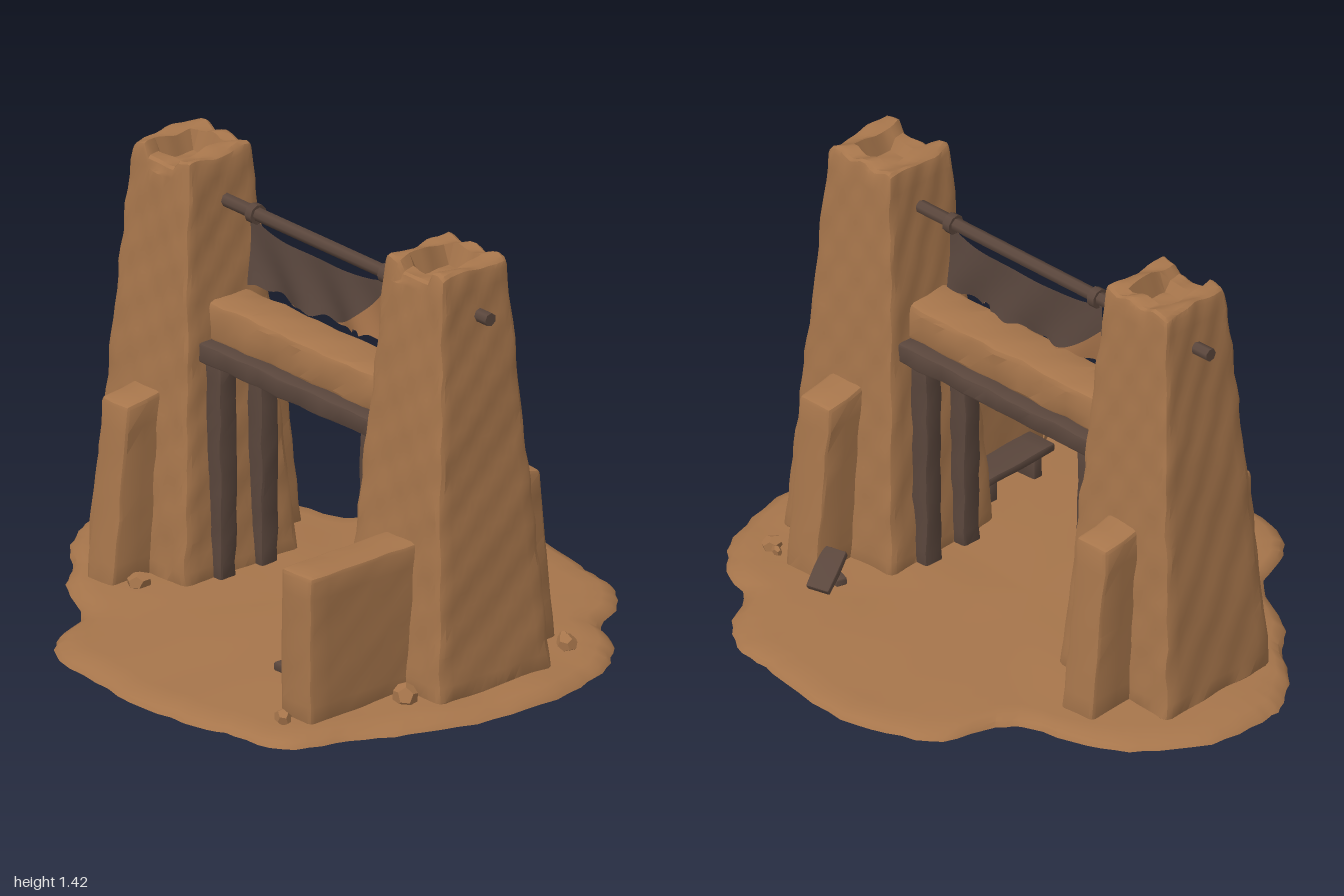
import * as THREE from 'three';
import { mergeVertices, toCreasedNormals } from 'three/addons/utils/BufferGeometryUtils.js';

const mat = (name, color, side = THREE.FrontSide) => {
  const m = new THREE.MeshStandardMaterial({ color, side });
  m.name = name;
  return m;
};
const clamp = THREE.MathUtils.clamp;
const wobble = (x, y, z) => (Math.sin(x * 31 + y * 13 + z * 7) + Math.sin(y * 23 - z * 37 + x * 5) + Math.sin(z * 29 + y * 41)) / 3;

// Worn block: a subdivided box with softened edges, uneven faces and an optional warp
function block([x0, x1], [y0, y1], [z0, z1], { n = [4, 6, 4], r = 0.015, rough = 0.004, warp } = {}) {
  let geo = new THREE.BoxGeometry(2, 2, 2, ...n);
  geo.deleteAttribute('normal');
  geo.deleteAttribute('uv');
  geo = mergeVertices(geo);
  const half = [(x1 - x0) / 2, (y1 - y0) / 2, (z1 - z0) / 2];
  const mid = new THREE.Vector3((x0 + x1) / 2, (y0 + y1) / 2, (z0 + z1) / 2);
  const pos = geo.attributes.position, p = new THREE.Vector3(), core = new THREE.Vector3();
  for (let i = 0; i < pos.count; i++) {
    p.fromBufferAttribute(pos, i);
    ['x', 'y', 'z'].forEach((k, a) => {
      const u = p[k], h = half[a];
      p[k] = Math.abs(u) > 0.999 ? u * h : u / (1 - 2 / n[a]) * (h - r);
      core[k] = clamp(p[k], r - h, h - r);
    });
    p.sub(core);
    if (p.length() > 0) p.setLength(r);
    p.add(core).add(mid);
    const { x, y, z } = p;
    if (warp) warp(p);
    p.x += rough * wobble(x, y, z);
    p.y += rough * wobble(y + 2, z, x) * 0.7;
    p.z += rough * wobble(z + 5, x, y);
    pos.setXYZ(i, p.x, p.y, p.z);
  }
  return toCreasedNormals(geo, 0.5);
}

// Flat mound built from scaled copies of one irregular outline
function moundGeometry() {
  const pts = [[-1, 0], [-.97, -.2], [-.85, -.38], [-.7, -.48], [-.5, -.53], [-.42, -.6], [-.36, -.77], [-.2, -.86],
    [.02, -.9], [.3, -.85], [.45, -.83], [.58, -.75], [.67, -.6], [.82, -.52], [.92, -.4], [.98, -.24], [1, 0],
    [.96, .25], [.88, .45], [.8, .62], [.73, .78], [.55, .82], [.42, .86], [.2, .89], [-.05, .87], [-.3, .82],
    [-.38, .72], [-.45, .57], [-.65, .46], [-.75, .35], [-.9, .22], [-.98, .1]];
  const N = 128;
  const line = new THREE.CatmullRomCurve3(pts.map(([x, z]) => new THREE.Vector3(x, 0, z)), true).getPoints(N);
  const rings = [[0, 0], [1, 0], [.985, .015], [.95, .028], [.88, .031], [.74, .036], [.58, .041], [.4, .043], [.2, .045], [0, .045]];
  const verts = [], index = [];
  rings.forEach(([s, y], i) => {
    for (let j = 0; j < N; j++) {
      const k = s * (1 - 0.008 * (1 + Math.sin(j * 1.9) * Math.cos(j * 0.7)));
      const x = line[j].x * k, z = line[j].z * k;
      verts.push(x, y + (i > 1 && s > 0 ? 0.005 * wobble(x * .5, 1, z * .5) : 0), z);
      if (i === rings.length - 1) continue;
      const a = i * N + j, b = i * N + (j + 1) % N, c = a + N, d = b + N;
      index.push(a, c, b, b, c, d);
    }
  });
  const geo = new THREE.BufferGeometry();
  geo.setAttribute('position', new THREE.Float32BufferAttribute(verts, 3));
  geo.setIndex(index);
  return toCreasedNormals(geo, 0.6);
}

// Cloth strip between a lower and an upper edge, both functions of x
function clothStrip(x0, x1, low, high, z) {
  const geo = new THREE.PlaneGeometry(1, 1, 60, 6), pos = geo.attributes.position;
  for (let i = 0; i < pos.count; i++) {
    const x = THREE.MathUtils.lerp(x0, x1, pos.getX(i) + 0.5);
    const y = THREE.MathUtils.lerp(low(x), high(x), pos.getY(i) + 0.5);
    pos.setXYZ(i, x, y, z + 0.012 * Math.sin(x * 24 + y * 15) * (1.23 - y) / 0.2);
  }
  geo.computeVertexNormals();
  return geo;
}

export function createModel() {
  const model = new THREE.Group();
  const clay = mat('clay', 0xa6754b), wood = mat('dark wood', 0x5a463c);
  const fabric = mat('dark cloth', 0x5a473e, THREE.DoubleSide);
  const dusty = mat('dusty cloth', 0xa6734a, THREE.DoubleSide);
  const iron = mat('iron', 0x4a3d36);
  const add = (name, geo, material, parent = model) => {
    const mesh = new THREE.Mesh(geo, material);
    mesh.name = name;
    parent.add(mesh);
    return mesh;
  };

  add('groundMound', moundGeometry(), clay);

  // Tapered towers with a hollow, notched top
  [[-0.573, 'rightTower'], [0.612, 'leftTower']].forEach(([cx, name]) => {
    add(name, block([cx - 0.235, cx + 0.235], [0.01, 1.41], [-0.235, 0.235], {
      n: [14, 30, 14], r: 0.024, rough: 0.006,
      warp: p => {
        const t = clamp((p.y - 0.05) / 1.36, 0, 1), top = p.y > 1.405;
        const s = 1 - 0.43 * t;
        p.x = cx + (p.x - cx) * s;
        p.z *= s;
        if (p.y > 1.375) {
          const dx = Math.abs(p.x - cx);
          if (top && dx < 0.072 && p.z > -0.065 && p.z < 0.08) p.y -= 0.07;
          else if (dx < 0.062 && p.z > 0.08) p.y -= 0.035;
          else p.y += 0.008 * Math.sin(p.x * 60 + p.z * 25);
        }
      },
    }), clay);
  });

  // Sloped buttresses and the taller low wall
  const buttress = (name, x0, x1, dir) => add(name,
    block([x0, x1], [0.01, 0.64], dir > 0 ? [0.1, 0.39] : [-0.4, -0.1], {
      n: [4, 10, 5],
      warp: p => {
        const t = p.y / 0.64, out = (Math.abs(p.z) - 0.1) / 0.3;
        p.z -= dir * 0.07 * t * Math.max(out, 0);
        p.y -= 0.035 * t * Math.max(out, 0) - 0.012 * t;
      },
    }), clay);
  buttress('frontButtress', -0.635, -0.51, 1);
  buttress('backRightButtress', -0.64, -0.51, -1);
  buttress('backLeftButtress', 0.55, 0.68, -1);
  add('lowWall', block([0.55, 0.692], [0.01, 0.52], [0.1, 0.63], { n: [4, 10, 10] }), clay);

  // Lintel resting on planks and posts
  add('lintel', block([-0.46, 0.51], [0.81, 0.943], [-0.09, 0.08], { n: [20, 4, 4], r: 0.02, rough: 0.007 }), clay);
  [[-0.138, -0.062], [-0.055, 0.045], [0.052, 0.13]].forEach((z, i) =>
    add('lintelPlank' + (i + 1), block([-0.42, 0.46], [0.757, 0.822], z, { n: [20, 3, 3], r: 0.008, rough: 0.005 }), wood));
  [[-0.375, -0.305], [0.337, 0.405]].forEach(x => [-0.085, 0.085].forEach(z =>
    add('doorPost', block(x, [0.02, 0.77], [z - 0.035, z + 0.035], { n: [3, 14, 3], r: 0.01, rough: 0.005 }), wood)));

  // Banner pole with its bindings
  const pole = add('bannerPole', new THREE.CylinderGeometry(0.022, 0.022, 1.59, 7, 12), wood);
  pole.rotation.z = Math.PI / 2;
  pole.position.set(0.015, 1.255, -0.01);
  [-0.29, 0.33].forEach(x => {
    const ring = add('poleBinding', new THREE.CylinderGeometry(0.033, 0.033, 0.028, 9), wood);
    ring.rotation.z = Math.PI / 2;
    ring.position.set(x, 1.253, -0.01);
  });

  // Torn cloth: a front and a back sheet, each with one dusty corner
  const upper = x => 1.195 + 0.045 * Math.pow(Math.abs(x - 0.015) / 0.325, 4);
  const lower = x => 1.005 + 0.12 * x * x + 0.012 * Math.sin(x * 43) * Math.sin(x * 17 + 1) + (Math.abs(x - 0.19) < 0.015 ? 0.02 : 0);
  [1, -1].forEach(side => {
    const edge = x => {
      const u = Math.max(0, (side * (x - 0.015) - (side > 0 ? 0.05 : 0.12)) / 0.26);
      return clamp(1.0 + 0.2 * Math.pow(u, 1.5), lower(x), upper(x));
    };
    const z = -0.01 + side * 0.003;
    add('cloth', clothStrip(-0.31, 0.34, edge, upper, z), fabric);
    add('clothDustyCorner', clothStrip(-0.31, 0.34, lower, edge, z), dusty);
  });

  // Bench beside the low wall
  const bench = new THREE.Group();
  bench.name = 'bench';
  model.add(bench);
  add('benchSeat', block([0.44, 0.55], [0.115, 0.143], [0.25, 0.56], { n: [3, 3, 8], r: 0.006, rough: 0.003 }), wood, bench);
  [0.3, 0.5].forEach(z =>
    add('benchLeg', block([0.455, 0.54], [0.03, 0.12], [z - 0.018, z + 0.018], { n: [3, 3, 3], r: 0.005, rough: 0.002 }), wood, bench));

  // Hanging lamp on a bracket
  const lamp = new THREE.Group();
  lamp.name = 'lamp';
  lamp.position.set(0.495, 0, 0.41);
  model.add(lamp);
  const arm = add('lampArm', new THREE.CylinderGeometry(0.007, 0.007, 0.085, 6), iron, lamp);
  arm.rotation.z = Math.PI / 2;
  arm.position.set(0.025, 0.462, 0);
  add('lampChain', new THREE.CylinderGeometry(0.003, 0.003, 0.05, 5), iron, lamp).position.y = 0.44;
  const profile = [[0, 0.36], [0.008, 0.375], [0.017, 0.4], [0.014, 0.41], [0.006, 0.425], [0, 0.43]];
  add('lampBody', new THREE.LatheGeometry(profile.map(([x, y]) => new THREE.Vector2(x, y)), 8), iron, lamp);

  // Broken planks behind the left tower
  const debris = add('brokenPlank', block([-0.04, 0.04], [-0.012, 0.012], [-0.075, 0.075], { n: [3, 3, 4], r: 0.005 }), wood);
  debris.position.set(0.5, 0.085, -0.395);
  debris.rotation.set(-0.55, 0.25, 0.1);
  const prop = add('plankProp', block([-0.05, 0.05], [-0.012, 0.012], [-0.02, 0.02], { n: [3, 3, 3], r: 0.005 }), wood);
  prop.position.set(0.5, 0.055, -0.36);
  prop.rotation.y = -0.3;

  // Scattered stones
  [[-0.46, 0.32, 0.042], [0.75, 0.29, 0.045], [0.62, 0.68, 0.03], [0.77, -0.36, 0.036], [0.73, -0.38, 0.02]].forEach(([x, z, s], i) => {
    const geo = toCreasedNormals(new THREE.DodecahedronGeometry(s), 0.2);
    const stone = add('stone', geo, clay);
    stone.position.set(x, 0.05, z);
    stone.scale.y = 0.75;
    stone.rotation.set(i, i * 2.1, 0.4);
  });
  return model;
}
